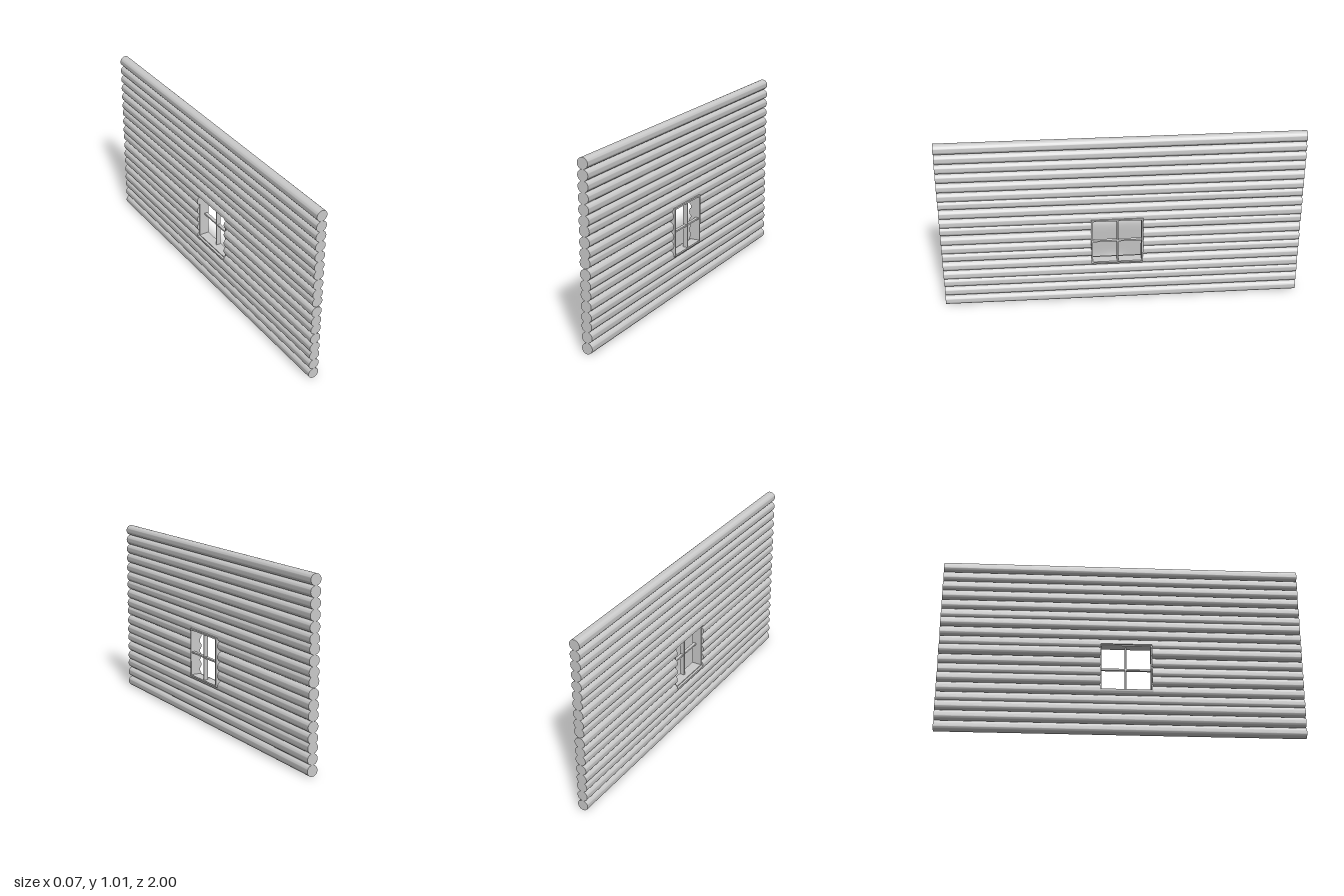
import * as THREE from 'three';
import { toCreasedNormals } from 'three/addons/utils/BufferGeometryUtils.js';

const material = new THREE.MeshStandardMaterial({ color: 0xcccccc });
const LOG_X = -0.005, LOG_R = 0.03;
const LOG_HEIGHTS = [0.03, 0.09, 0.148, 0.197, 0.254, 0.313, 0.364, 0.42, 0.482,
  0.53, 0.587, 0.646, 0.695, 0.752, 0.811, 0.868, 0.925, 0.984];
// Window opening
const WIN = { z0: -0.118, z1: 0.172, y0: 0.251, y1: 0.528 };

// A log running along z from z0 to z1; start and end angles leave a flat cut
function log(name, y, z0, z1, start = 0, end = Math.PI * 2) {
  const shape = new THREE.Shape();
  shape.absarc(0, 0, LOG_R, start, end, false);
  const extruded = new THREE.ExtrudeGeometry(shape, { depth: z1 - z0, bevelEnabled: false, curveSegments: 20 });
  const mesh = new THREE.Mesh(toCreasedNormals(extruded, 0.6), material);
  mesh.name = name;
  mesh.position.set(LOG_X, y, z0);
  return mesh;
}

// A box given by its limits
function bar(name, x0, x1, y0, y1, z0, z1) {
  const mesh = new THREE.Mesh(new THREE.BoxGeometry(x1 - x0, y1 - y0, z1 - z0), material);
  mesh.name = name;
  mesh.position.set((x0 + x1) / 2, (y0 + y1) / 2, (z0 + z1) / 2);
  return mesh;
}

export function createModel() {
  const model = new THREE.Group();
  model.name = 'logWall';

  // Stacked logs, interrupted or notched by the window
  const logs = new THREE.Group();
  logs.name = 'logs';
  for (const y of LOG_HEIGHTS) {
    if (y + LOG_R < WIN.y0 || y - LOG_R > WIN.y1) {
      logs.add(log('log', y, -1, 1));
      continue;
    }
    logs.add(log('logBesideWindow', y, -1, WIN.z0 + 0.004));
    logs.add(log('logBesideWindow', y, WIN.z1 - 0.004, 1));
    if (y - LOG_R < WIN.y0) {
      const a = Math.asin((WIN.y0 + 0.004 - y) / LOG_R);
      logs.add(log('logUnderWindow', y, WIN.z0, WIN.z1, Math.PI - a, Math.PI * 2 + a));
    } else if (y + LOG_R > WIN.y1) {
      const a = Math.asin((WIN.y1 - 0.004 - y) / LOG_R);
      logs.add(log('logOverWindow', y, WIN.z0, WIN.z1, a, Math.PI - a));
    }
  }
  model.add(logs);

  // Window frame with crossed glazing bars
  const frame = new THREE.Group();
  frame.name = 'windowFrame';
  const t = 0.009, back = -0.022, front = 0.034;
  frame.add(
    bar('sill', back, front, WIN.y0, WIN.y0 + t, WIN.z0, WIN.z1),
    bar('lintel', back, front, WIN.y1 - t, WIN.y1, WIN.z0, WIN.z1),
    bar('jamb', back, front, WIN.y0 + t, WIN.y1 - t, WIN.z0, WIN.z0 + t),
    bar('jamb', back, front, WIN.y0 + t, WIN.y1 - t, WIN.z1 - t, WIN.z1),
    bar('verticalGlazingBar', 0.005, 0.031, WIN.y0 + t, WIN.y1 - t, 0.021, 0.029),
    bar('horizontalGlazingBar', 0.01, 0.028, 0.385, 0.394, WIN.z0 + t, WIN.z1 - t),
  );
  model.add(frame);
  return model;
}
